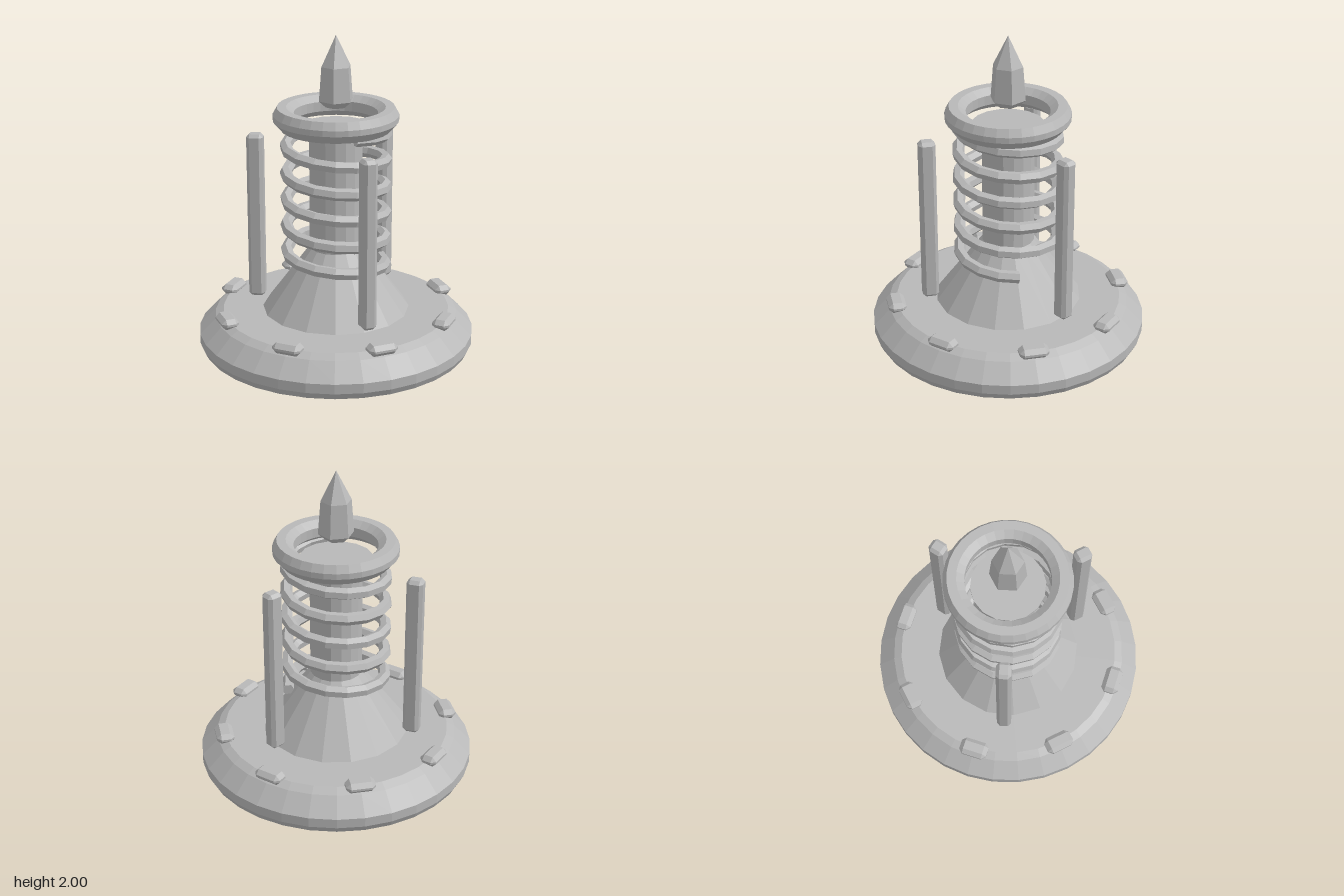
import * as THREE from 'three';
import { ConvexGeometry } from 'three/addons/geometries/ConvexGeometry.js';

const grey = new THREE.MeshStandardMaterial({ color: 0xb8b8b8, flatShading: true });
grey.name = 'grey';

function part(name, geometry, parent) {
  const mesh = new THREE.Mesh(geometry, grey);
  mesh.name = name;
  parent.add(mesh);
  return mesh;
}

// Surface of revolution from [radius, height] pairs, listed from the bottom up
function lathe(points, sides) {
  return new THREE.LatheGeometry(points.map(([r, y]) => new THREE.Vector2(r, y)), sides);
}

// Box with all its edges cut at 45 degrees
function chamferBox(w, h, d, cut) {
  const points = [];
  for (const sx of [-1, 1]) for (const sy of [-1, 1]) for (const sz of [-1, 1]) {
    for (let full = 0; full < 3; full++) {
      const c = [cut, cut, cut];
      c[full] = 0;
      points.push(new THREE.Vector3(sx * (w / 2 - c[0]), sy * (h / 2 - c[1]), sz * (d / 2 - c[2])));
    }
  }
  return new ConvexGeometry(points);
}

// Places copies of a geometry around the vertical axis, each facing outward
function ringOf(name, geometry, count, radius, y, start, parent) {
  const group = new THREE.Group();
  group.name = name + 's';
  for (let i = 0; i < count; i++) {
    const a = start + (i / count) * Math.PI * 2;
    const mesh = part(name, geometry, group);
    mesh.position.set(Math.sin(a) * radius, y, Math.cos(a) * radius);
    mesh.rotation.y = a;
  }
  parent.add(group);
}

// Rising coil that starts on the left side and turns towards the front
class Helix extends THREE.Curve {
  constructor(radius, bottom, pitch, turns) {
    super();
    Object.assign(this, { radius, bottom, pitch, turns });
  }
  getPoint(t, target = new THREE.Vector3()) {
    const n = t * this.turns, a = n * Math.PI * 2;
    return target.set(Math.cos(a) * this.radius, this.bottom + n * this.pitch, Math.sin(a) * this.radius);
  }
}

export function createModel() {
  const model = new THREE.Group();
  model.name = 'springTower';

  // Round base
  part('base', lathe([
    [0, 0], [0.69, 0], [0.825, 0.07], [0.845, 0.11], [0.845, 0.17],
    [0.745, 0.27], [0.695, 0.297], [0, 0.297],
  ], 32), model);

  // Cone foot, column and flared cap
  part('column', lathe([
    [0, 0.28], [0.455, 0.29], [0.16, 0.69], [0.16, 1.395], [0.22, 1.435], [0.22, 1.45], [0, 1.45],
  ], 16), model);

  // Studs on the base and the three upright posts
  ringOf('stud', chamferBox(0.178, 0.066, 0.108, 0.026), 8, 0.705, 0.309, 0, model);
  ringOf('post', chamferBox(0.09, 1.04, 0.1, 0.02), 3, 0.49, 0.865, 0, model);

  // Spring with closed ends
  const spring = new THREE.Group();
  spring.name = 'spring';
  const helix = new Helix(0.301, 0.575, 0.165, 5.25);
  part('springCoil', new THREE.TubeGeometry(helix, 84, 0.037, 6), spring);
  for (const t of [0, 1]) {
    const end = part('springEnd', new THREE.CircleGeometry(0.037, 6), spring);
    const out = helix.getTangent(t).multiplyScalar(t ? 1 : -1);
    end.position.copy(helix.getPoint(t));
    end.quaternion.setFromUnitVectors(new THREE.Vector3(0, 0, 1), out);
  }
  model.add(spring);

  // Open ring above the spring
  part('topRing', lathe([
    [0.29, 1.438], [0.33, 1.438], [0.375, 1.49], [0.375, 1.525], [0.35, 1.57],
    [0.295, 1.57], [0.25, 1.535], [0.25, 1.475], [0.29, 1.438],
  ], 32), model);

  // Six-sided floating spike
  const spike = part('spike', lathe([
    [0, 1.565], [0.065, 1.57], [0.108, 1.61], [0.092, 1.815], [0, 2],
  ], 6), model);
  spike.rotation.y = Math.PI / 6;

  return model;
}
